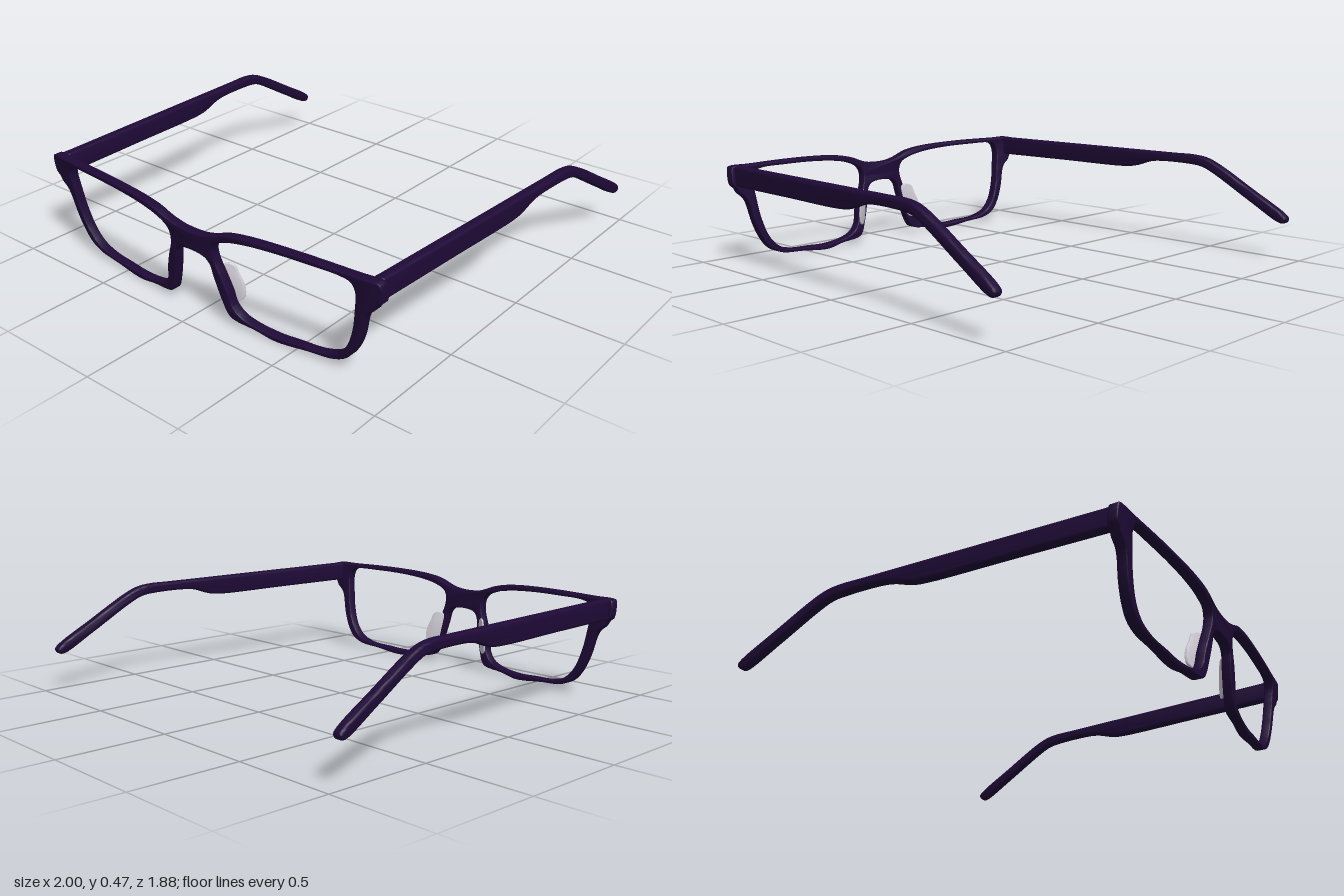
import * as THREE from 'three';
import { toCreasedNormals } from 'three/addons/utils/BufferGeometryUtils.js';

const frameMat = new THREE.MeshStandardMaterial({ color: 0x1f0a37 });
frameMat.name = 'dark purple';
const padMat = new THREE.MeshStandardMaterial({ color: 0xd2ced8 });
padMat.name = 'pale grey';

// Smooth closed outline through a few control points, always anticlockwise
function outline(points, steps = 6) {
  const curve = new THREE.CatmullRomCurve3(
    points.map(([x, y]) => new THREE.Vector3(x, y, 0)), true, 'centripetal');
  const pts = curve.getPoints(points.length * steps).slice(0, -1)
    .map((p) => new THREE.Vector2(p.x, p.y));
  return THREE.ShapeUtils.isClockWise(pts) ? pts.reverse() : pts;
}

// Extrusion centred on its plane, with a bevel that keeps the outline size
function slab(shape, depth, bevel, segments = 3) {
  const geo = new THREE.ExtrudeGeometry(shape, {
    depth: depth - 2 * bevel, bevelEnabled: true, bevelThickness: bevel,
    bevelSize: bevel, bevelOffset: -bevel, bevelSegments: segments,
  });
  return geo.translate(0, 0, -depth / 2 + bevel);
}

// Move every vertex by a rule
function warp(geo, rule) {
  const pos = geo.attributes.position;
  const v = new THREE.Vector3();
  for (let i = 0; i < pos.count; i++) {
    v.fromBufferAttribute(pos, i);
    rule(v);
    pos.setXYZ(i, v.x, v.y, v.z);
  }
  return toCreasedNormals(geo, 0.7);
}

function part(name, geo, mat) {
  const mesh = new THREE.Mesh(geo, mat);
  mesh.name = name;
  return mesh;
}

const mirror = (pts, side) => pts.map(([x, y]) => [x * side, y]);

// Front frame: both rims, the bridge and the end pieces
function frontFrame() {
  const half = [
    [0.05, 0.4], [0.11, 0.412], [0.2, 0.443], [0.3, 0.458], [0.42, 0.465],
    [0.6, 0.468], [0.8, 0.466], [0.915, 0.465], [0.924, 0.458], [0.924, 0.38],
    [0.905, 0.362], [0.89, 0.338], [0.858, 0.31], [0.843, 0.28], [0.82, 0.19],
    [0.788, 0.115], [0.745, 0.06], [0.68, 0.03], [0.56, 0.018], [0.4, 0.002],
    [0.3, 0.018], [0.19, 0.03], [0.165, 0.046], [0.135, 0.12], [0.108, 0.22],
    [0.095, 0.275], [0.065, 0.3],
  ];
  const lens = [
    [0.14, 0.385], [0.2, 0.412], [0.3, 0.432], [0.45, 0.444], [0.62, 0.447],
    [0.75, 0.445], [0.795, 0.432], [0.811, 0.395], [0.803, 0.31],
    [0.785, 0.21], [0.75, 0.12], [0.7, 0.067], [0.62, 0.039], [0.5, 0.031],
    [0.4, 0.026], [0.28, 0.039], [0.22, 0.062], [0.188, 0.1], [0.175, 0.16],
    [0.15, 0.235], [0.125, 0.3], [0.121, 0.35],
  ];
  const shape = new THREE.Shape(outline([...half, ...mirror(half, -1).reverse()]));
  for (const side of [1, -1]) {
    shape.holes.push(new THREE.Path(outline(mirror(lens, side))));
  }
  // Wrap the frame back at the sides and lean its foot backwards
  return warp(slab(shape, 0.046, 0.005), (v) => {
    const out = Math.max(0, Math.abs(v.x) - 0.15);
    v.z += 0.918 - 0.068 * out - 0.016 * out * out - 0.118 * (0.45 - v.y);
  });
}

// Temple arm: deep front, slimmer rear, drooping tip; drawn as (z, y)
function arm(side) {
  const profile = [
    [0.842, 0.462], [0.836, 0.466], [0.8, 0.466], [0.5, 0.466], [0, 0.466],
    [-0.3, 0.466], [-0.42, 0.466], [-0.49, 0.456], [-0.56, 0.428],
    [-0.75, 0.322], [-0.925, 0.221], [-0.943, 0.2], [-0.934, 0.181],
    [-0.912, 0.178], [-0.75, 0.265], [-0.55, 0.379], [-0.48, 0.41],
    [-0.41, 0.419], [-0.22, 0.419], [-0.16, 0.41], [-0.07, 0.381],
    [0, 0.373], [0.4, 0.372], [0.8, 0.371], [0.836, 0.371], [0.842, 0.375],
  ];
  const geo = slab(new THREE.Shape(outline(profile)), 0.047, 0.012, 4);
  geo.rotateY(-Math.PI / 2);
  // Splay outwards towards the tip
  return warp(geo, (v) => { v.x += side * (0.887 + (0.83 - v.z) * 0.0508); });
}

// Thin nose pad, angled back and outwards behind the rim
function nosePad(side) {
  const pad = [
    [0.12, 0.255], [0.14, 0.272], [0.163, 0.266], [0.179, 0.225],
    [0.195, 0.18], [0.2, 0.14], [0.194, 0.108], [0.17, 0.094],
    [0.148, 0.105], [0.13, 0.16],
  ];
  const geo = slab(new THREE.Shape(outline(mirror(pad, side))), 0.012, 0.003);
  return warp(geo, (v) => { v.z += 0.875 - (Math.abs(v.x) - 0.12) * 0.65; });
}

export function createModel() {
  const model = new THREE.Group();
  model.name = 'eyeglasses';
  model.add(part('frontFrame', frontFrame(), frameMat));
  for (const [side, label] of [[1, 'left'], [-1, 'right']]) {
    model.add(part(label + 'Arm', arm(side), frameMat));
    model.add(part(label + 'NosePad', nosePad(side), padMat));
  }
  return model;
}
